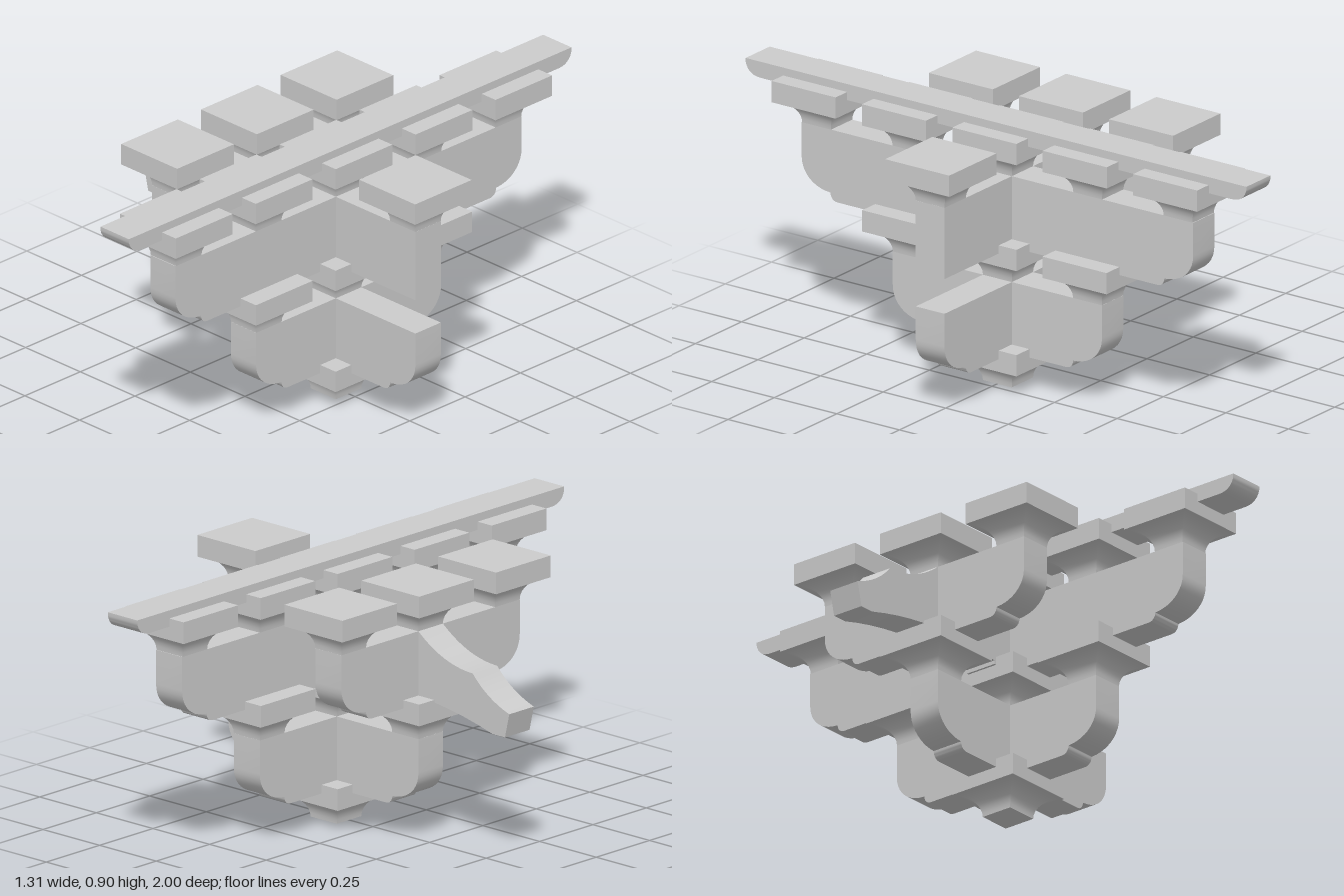
import * as THREE from 'three';
import { toCreasedNormals } from 'three/addons/utils/BufferGeometryUtils.js';

const MATERIAL = new THREE.MeshStandardMaterial({ color: 0xcccccc, side: THREE.DoubleSide });
const T = 0.115;        // thickness of the arms and of the block necks
const MAIN = 0.163;     // x of the main column line
const REAR = -0.197;    // x of the rear column line
const FRONT = 0.526;    // x of the outer column line
const STEP = 0.36;      // spacing of the blocks along z

// Extrudes a side profile, centred on its thickness.
function slab(shape, depth) {
  const geo = new THREE.ExtrudeGeometry(shape, { depth, bevelEnabled: false, curveSegments: 10 });
  geo.translate(0, 0, -depth / 2);
  return toCreasedNormals(geo, 0.4);
}

// Square bearing block: concave flared foot under a flat square cap.
function blockGeometry() {
  const half = 0.128, foot = T / 2, flare = 0.074, height = 0.147;
  const profile = [[0, 0]];
  for (let i = 0; i <= 8; i++) {
    const a = (i / 8) * Math.PI / 2;
    profile.push([half - (half - foot) * Math.cos(a), flare * Math.sin(a)]);
  }
  profile.push([half, height], [0, height]);
  const points = profile.map(([r, y]) => new THREE.Vector2(r * Math.SQRT2, y));
  return toCreasedNormals(new THREE.LatheGeometry(points, 4, Math.PI / 4), 0.25);
}

// Bracket arm from u0 to u1, both lower ends rounded and stepped.
function armShape(u0, u1, y0, y1) {
  const s = new THREE.Shape();
  s.moveTo(u0, y1);
  s.lineTo(u0, y0 + 0.13);
  s.bezierCurveTo(u0, y0 + 0.07, u0 + 0.05, y0 + 0.03, u0 + 0.115, y0 + 0.028);
  s.quadraticCurveTo(u0 + 0.118, y0, u0 + 0.145, y0);
  s.lineTo(u1 - 0.145, y0);
  s.quadraticCurveTo(u1 - 0.118, y0, u1 - 0.115, y0 + 0.028);
  s.bezierCurveTo(u1 - 0.05, y0 + 0.03, u1, y0 + 0.07, u1, y0 + 0.13);
  s.lineTo(u1, y1);
  s.closePath();
  return s;
}

// Upper lengthwise arm, running out into a drooping beak.
function beakShape() {
  const s = new THREE.Shape();
  s.moveTo(0.584, 0.726);
  s.lineTo(-0.255, 0.726);
  s.quadraticCurveTo(-0.365, 0.637, -0.495, 0.635);
  s.quadraticCurveTo(-0.555, 0.565, -0.656, 0.532);
  s.lineTo(-0.637, 0.45);
  s.lineTo(-0.583, 0.45);
  s.quadraticCurveTo(-0.27, 0.54, 0.027, 0.495);
  s.lineTo(0.027, 0.482);
  s.lineTo(0.584, 0.482);
  s.closePath();
  return s;
}

// Long top rail with rounded lower ends.
function railShape() {
  const s = new THREE.Shape();
  s.moveTo(-1, 0.9);
  s.lineTo(-1, 0.888);
  s.quadraticCurveTo(-0.99, 0.845, -0.94, 0.845);
  s.lineTo(0.94, 0.845);
  s.quadraticCurveTo(0.99, 0.845, 1, 0.888);
  s.lineTo(1, 0.9);
  s.closePath();
  return s;
}

export function createModel() {
  const model = new THREE.Group();
  model.name = 'bracketSet';

  const add = (name, geometry, x = 0, y = 0, z = 0, turn = 0) => {
    const mesh = new THREE.Mesh(geometry, MATERIAL);
    mesh.name = name;
    mesh.position.set(x, y, z);
    mesh.rotation.y = turn;
    model.add(mesh);
  };

  // Bearing blocks, tier by tier: base, middle, top
  const block = blockGeometry();
  const tiers = [
    ['baseBlock', 0.002, [[MAIN, 0]]],
    ['middleBlock', 0.363, [[REAR, 0], [MAIN, -STEP], [MAIN, 0], [MAIN, STEP]]],
    ['topBlock', 0.726, [
      [FRONT, 0],
      ...[-1, 0, 1].map((i) => [REAR, i * STEP]),
      ...[-2, -1, 0, 1, 2].map((i) => [MAIN, i * STEP * 1.003]),
    ]],
  ];
  for (const [name, y, spots] of tiers) {
    for (const [x, z] of spots) add(name, block, x, y, z);
  }

  // Arms along x
  add('lowerLengthArm', slab(armShape(-0.255, 0.584, 0.12, 0.363), T));
  add('upperLengthArmWithBeak', slab(beakShape(), T));

  // Arms along z
  const turn = -Math.PI / 2;
  add('lowerCrossArm', slab(armShape(-0.418, 0.418, 0.12, 0.363), T), MAIN, 0, 0, turn);
  add('upperCrossArm', slab(armShape(-0.782, 0.782, 0.482, 0.726), T), MAIN, 0, 0, turn);
  add('rearCrossArm', slab(armShape(-0.418, 0.418, 0.482, 0.726), T), REAR, 0, 0, turn);

  // Top rail
  add('topRail', slab(railShape(), 0.13), MAIN, 0, 0, turn);

  return model;
}
